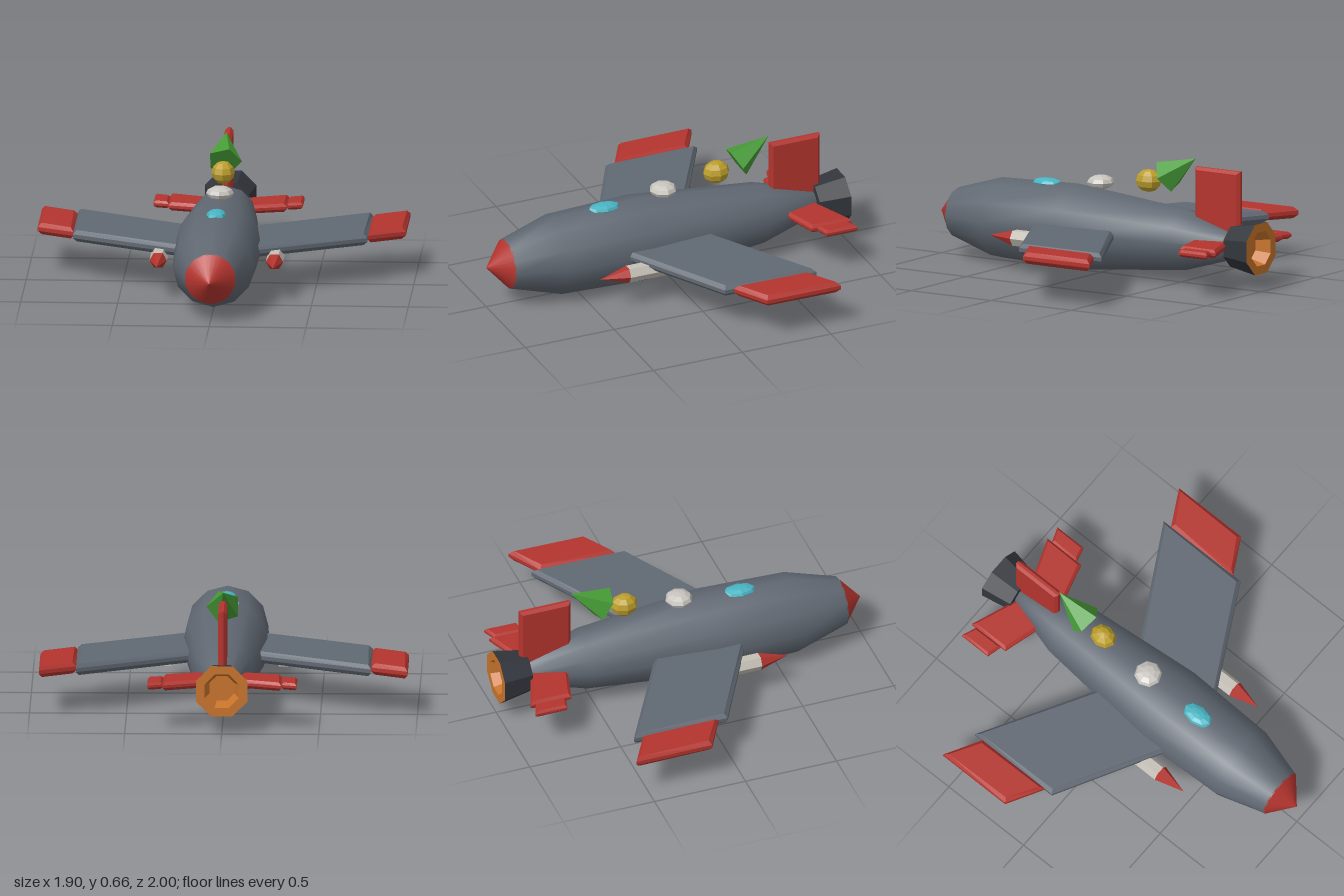
import * as THREE from 'three';

const AXIS_Y = 0.23;
const mat = (color, flat = true) => new THREE.MeshStandardMaterial({ color, flatShading: flat });

export function createModel() {
  const model = new THREE.Group();
  const grey = mat(0x606872), red = mat(0xb4342e);
  const dark = mat(0x32363c), orange = mat(0xc8742c);

  const add = (name, geometry, material, x = 0, y = 0, z = 0) => {
    const mesh = new THREE.Mesh(geometry, material);
    mesh.name = name;
    mesh.position.set(x, y, z);
    model.add(mesh);
    return mesh;
  };

  // Surface of revolution along z; points are [radius, z]
  const turned = (points, sides, start = 0) =>
    new THREE.LatheGeometry(points.map(([r, z]) => new THREE.Vector2(r, z)), sides, start)
      .rotateX(Math.PI / 2);

  // Bevelled flat plate centred on its own plane; the outline is its outer edge
  const plate = (outline, thickness, bevel) => {
    const shape = new THREE.Shape(outline.map(([a, b]) => new THREE.Vector2(a, b)));
    return new THREE.ExtrudeGeometry(shape, {
      depth: thickness - 2 * bevel, bevelThickness: bevel, bevelSize: bevel,
      bevelOffset: -bevel, bevelSegments: 1,
    }).translate(0, 0, bevel - thickness / 2);
  };

  // Fuselage and nose
  add('fuselage', turned([[0, -0.84], [0.07, -0.84], [0.16, -0.53], [0.225, 0.15],
    [0.21, 0.62], [0.13, 0.89]], 12), mat(0x606872, false), 0, AXIS_Y);
  add('noseCone', turned([[0.131, 0.885], [0, 1]], 24), mat(0xb4342e, false), 0, AXIS_Y);

  // Engine nozzle with a hollow glowing end
  const start = Math.PI / 8;
  add('nozzle', turned([[0.143, -1], [0.112, -0.835], [0, -0.835]], 8, start), dark, 0, AXIS_Y);
  add('exhaust', turned([[0, -0.92], [0.07, -0.92], [0.095, -1], [0.143, -1]], 8, start),
    orange, 0, AXIS_Y);

  // Wings and tailplanes, outlines as [x, z] for the left side
  const wing = [[0, 0.4], [0.76, -0.01], [0.76, -0.525], [0, -0.1]];
  const wingTip = [[0.76, -0.06], [0.95, -0.165], [0.95, -0.58], [0.76, -0.475]];
  const tailplane = [[0, -0.615], [0.305, -0.7], [0.305, -0.925], [0, -0.81]];
  const tailTip = [[0.305, -0.73], [0.385, -0.75], [0.385, -0.925], [0.305, -0.895]];
  const panels = [
    ['Wing', wing, 0.06, 0.02, grey],
    ['WingTip', wingTip, 0.06, 0.02, red],
    ['Tailplane', tailplane, 0.044, 0.015, red],
    ['TailplaneTip', tailTip, 0.036, 0.012, red],
  ];
  const white = mat(0xc4c0b6);
  for (const [side, s] of [['left', 1], ['right', -1]]) {
    for (const [name, outline, thickness, bevel, material] of panels) {
      const geometry = plate(outline.map(([x, z]) => [s * x, -z]), thickness, bevel);
      add(side + name, geometry.rotateX(-Math.PI / 2), material, 0, 0.236);
    }
    // Six-sided missile under each wing
    add(side + 'MissileBody',
      turned([[0, -0.04], [0.045, -0.04], [0.045, 0.335]], 6, Math.PI / 6), white, s * 0.3, 0.196);
    add(side + 'MissileTip',
      turned([[0.045, 0.335], [0, 0.49]], 6, Math.PI / 6), red, s * 0.3, 0.196);
  }

  // Upright tail fin, outline as [z, y]
  add('tailFin', plate([[-0.875, 0.25], [-0.595, 0.25], [-0.595, 0.62], [-0.875, 0.62]],
    0.045, 0.015).rotateY(-Math.PI / 2), red);

  // Rounded shapes along the back: [name, colour, half sizes, y, z]
  const domes = [
    ['canopy', 0x48b4c2, [0.052, 0.026, 0.09], 0.44, 0.335],
    ['whiteDome', 0xc8c5bf, [0.072, 0.037, 0.072], 0.478, 0.003],
    ['yellowBall', 0xbc9e2c, [0.06, 0.06, 0.072], 0.516, -0.297],
  ];
  for (const [name, color, size, y, z] of domes) {
    const ball = new THREE.SphereGeometry(1, 8, 6).scale(...size);
    add(name, ball, mat(color), 0, y, z);
  }

  // Five-sided cone leaning back
  const cone = new THREE.ConeGeometry(0.09, 0.212, 5, 1, false, Math.PI / 2)
    .translate(0, 0.106, 0).rotateX(-1.022);
  add('greenCone', cone, mat(0x469c36), 0, 0.55, -0.41);

  return model;
}
